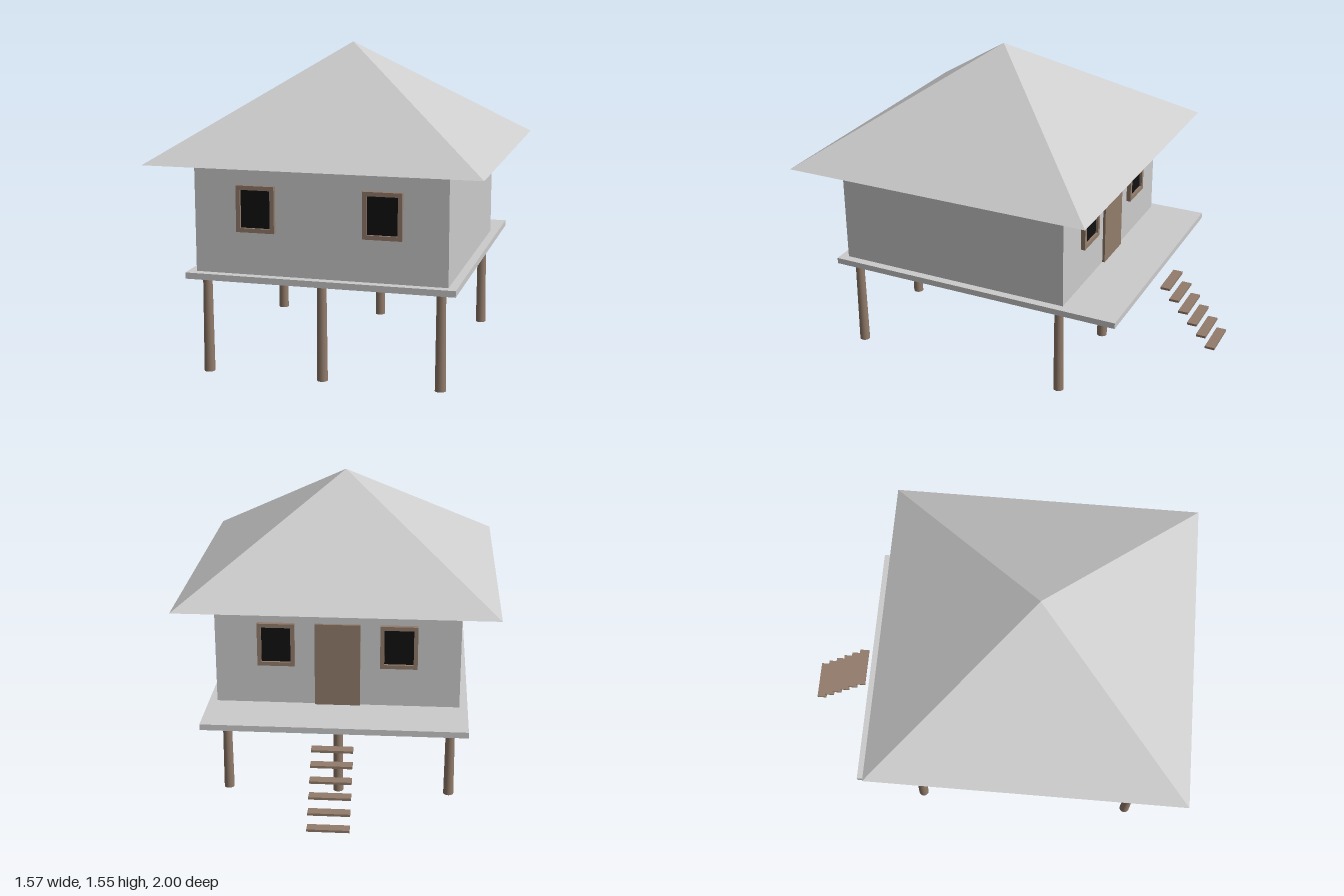
import * as THREE from 'three';

const plaster = new THREE.MeshStandardMaterial({ color: 0xcccccc });
plaster.name = 'pale grey';
plaster.side = THREE.DoubleSide;
plaster.flatShading = true;
const wood = new THREE.MeshStandardMaterial({ color: 0x927c6b });
wood.name = 'brown wood';
const dark = new THREE.MeshStandardMaterial({ color: 0x111111 });
dark.name = 'dark glass';

function add(parent, name, geometry, material, x = 0, y = 0, z = 0) {
  const mesh = new THREE.Mesh(geometry, material);
  mesh.name = name;
  mesh.position.set(x, y, z);
  parent.add(mesh);
  return mesh;
}

// Box given by its lower and upper limits on each axis
function addBox(parent, name, material, [x0, x1], [y0, y1], [z0, z1]) {
  return add(parent, name, new THREE.BoxGeometry(x1 - x0, y1 - y0, z1 - z0), material,
    (x0 + x1) / 2, (y0 + y1) / 2, (z0 + z1) / 2);
}

// Framed window facing +z, its back at z = 0
function makeWindow() {
  const w = 0.184, h = 0.22, rim = 0.02;
  const shape = new THREE.Shape([[-1, -1], [1, -1], [1, 1], [-1, 1]]
    .map(([x, y]) => new THREE.Vector2(x * w / 2, y * h / 2)));
  shape.holes.push(new THREE.Path([[-1, -1], [-1, 1], [1, 1], [1, -1]]
    .map(([x, y]) => new THREE.Vector2(x * (w / 2 - rim), y * (h / 2 - rim)))));
  const group = new THREE.Group();
  group.name = 'window';
  add(group, 'windowFrame', new THREE.ExtrudeGeometry(shape, { depth: 0.022, bevelEnabled: false }), wood);
  add(group, 'windowPane', new THREE.BoxGeometry(w - 2 * rim, h - 2 * rim, 0.008), dark, 0, 0, 0.005);
  return group;
}

export function createModel() {
  const house = new THREE.Group();
  house.name = 'stiltHouse';

  // Platform and walls
  addBox(house, 'platform', plaster, [-0.645, 0.645], [0.47, 0.5], [-0.67, 0.86]);
  addBox(house, 'walls', plaster, [-0.604, 0.604], [0.5, 1.028], [-0.387, 0.818]);

  // Pyramid roof, open underneath
  const roof = new THREE.ConeGeometry(0.785 * Math.SQRT2, 0.522, 4, 1, true);
  roof.rotateY(Math.PI / 4);
  add(house, 'roof', roof, plaster, 0, 1.289, 0.214);

  // Stilts, slightly thicker at the foot
  for (const z of [0.78, -0.35])
    for (const x of [-0.565, 0, 0.565])
      add(house, 'stilt', new THREE.CylinderGeometry(0.022, 0.026, 0.47, 16), wood, x, 0.235, z);

  // Windows, two in front and two at the back
  for (const x of [-0.302, 0.302]) {
    const front = makeWindow();
    front.position.set(x, 0.815, 0.818);
    const back = makeWindow();
    back.position.set(x, 0.815, -0.387);
    back.rotation.y = Math.PI;
    house.add(front, back);
  }

  // Back door
  addBox(house, 'door', wood, [-0.112, 0.112], [0.5, 0.925], [-0.4, -0.387]);

  // Floating steps down from the back edge of the platform
  for (let i = 0; i < 6; i++)
    add(house, 'step', new THREE.BoxGeometry(0.2, 0.012, 0.05), wood, 0, 0.416 - i * 0.0565, -0.725 - i * 0.05);

  return house;
}
